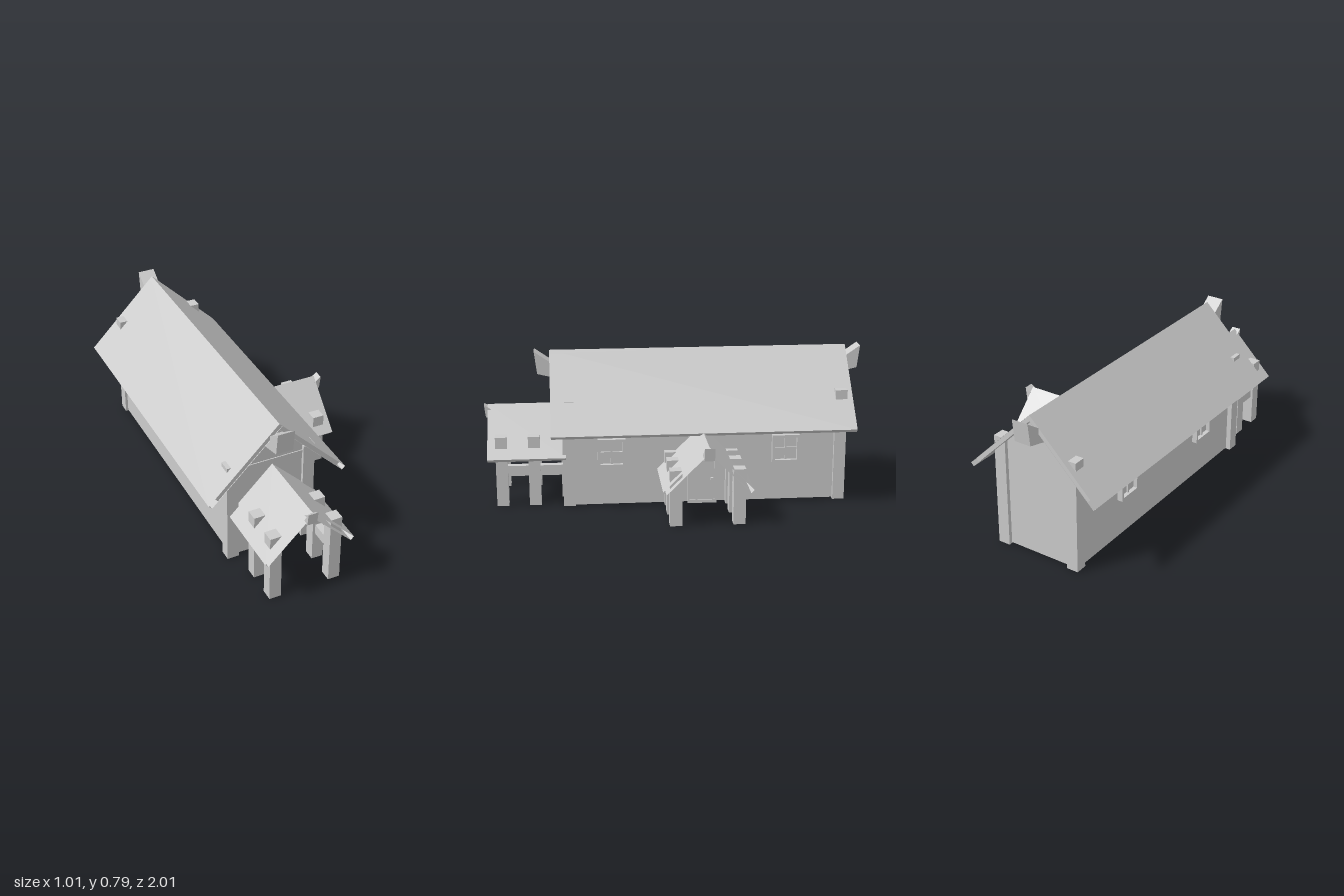
import * as THREE from 'three';

const mat = new THREE.MeshStandardMaterial({ color: 0xcccccc, flatShading: true, side: THREE.DoubleSide });

function add(parent, name, geo, x = 0, y = 0, z = 0) {
  const m = new THREE.Mesh(geo, mat);
  m.name = name;
  m.position.set(x, y, z);
  parent.add(m);
  return m;
}

// Box given by its min and max on each axis
function box(parent, name, x0, x1, y0, y1, z0, z1) {
  return add(parent, name, new THREE.BoxGeometry(x1 - x0, y1 - y0, z1 - z0),
    (x0 + x1) / 2, (y0 + y1) / 2, (z0 + z1) / 2);
}

// Two 45 degree slabs meeting at a ridge along z; open ends drop the z caps
function gableRoof(parent, name, half, ridgeY, z0, z1, t, open) {
  const run = half * Math.SQRT2;
  for (const s of [-1, 1]) {
    const geo = new THREE.BoxGeometry(run, t, z1 - z0);
    if (open) {
      geo.setIndex(Array.from(geo.index.array).slice(0, 24));
      geo.clearGroups();
    }
    const k = t / 2 / Math.SQRT2;
    const slab = add(parent, name, geo, s * (half / 2 - k), ridgeY - half / 2 - k, (z0 + z1) / 2);
    slab.rotation.z = -s * Math.PI / 4;
  }
}

// Wedge-shaped ridge end, pointing along +z
function ridgeHorn(parent, ridgeY, z, scale, width) {
  const pts = [[0.08, 0], [0.065, -0.12], [-0.09, -0.158], [-0.05, -0.09]];
  const shape = new THREE.Shape(pts.map(([o, y]) => new THREE.Vector2(-o * scale, y * scale)));
  const geo = new THREE.ExtrudeGeometry(shape, { depth: width, bevelEnabled: false });
  geo.translate(0, 0, -width / 2);
  geo.rotateY(Math.PI / 2);
  return add(parent, 'ridgeHorn', geo, 0, ridgeY, z);
}

// Framed window facing +z
function windowUnit(w, h) {
  const g = new THREE.Group();
  g.name = 'window';
  const f = 0.014, a = w / 2, b = h / 2;
  for (const s of [-1, 1]) {
    box(g, 'windowFrame', s * (a - f / 2) - f / 2, s * (a - f / 2) + f / 2, -b, b, 0, 0.028);
    box(g, 'windowFrame', -a + f, a - f, s * (b - f / 2) - f / 2, s * (b - f / 2) + f / 2, 0, 0.028);
  }
  box(g, 'mullion', -0.005, 0.005, -b + f, b - f, 0, 0.016);
  box(g, 'transom', -a + f, a - f, -0.005, 0.005, 0, 0.016);
  box(g, 'pane', -a + f, a - f, -b + f, b - f, 0, 0.006);
  return g;
}

// Door with frame and knob facing +z
function doorUnit() {
  const g = new THREE.Group();
  g.name = 'door';
  for (const s of [-1, 1]) box(g, 'doorFrame', s * 0.071 - 0.005, s * 0.071 + 0.005, 0.002, 0.28, 0, 0.024);
  box(g, 'doorLintel', -0.066, 0.066, 0.266, 0.28, 0, 0.024);
  box(g, 'doorSill', -0.066, 0.066, 0.002, 0.02, 0, 0.024);
  box(g, 'doorLeaf', -0.066, 0.066, 0.02, 0.266, 0, 0.017);
  box(g, 'doorKnob', 0.045, 0.058, 0.13, 0.143, 0.017, 0.036);
  return g;
}

// Open porch along +z: posts pierce the roof, rails tie them to the wall
function porch({ ridgeY, half, z0, z1, postTop, posts, rail, hornZ }) {
  const g = new THREE.Group();
  g.name = 'porch';
  gableRoof(g, 'porchRoof', half, ridgeY, z0, z1, 0.024, true);
  for (const s of [-1, 1]) {
    const x = s * 0.161;
    for (const z of posts) box(g, 'porchPost', x - 0.031, x + 0.031, 0, postTop, z - 0.031, z + 0.031);
    box(g, 'porchRail', x - 0.018, x + 0.018, rail[0], rail[1], z0 - 0.02, Math.max(...posts));
  }
  ridgeHorn(g, ridgeY, hornZ, 0.55, 0.052);
  return g;
}

export function createModel() {
  const root = new THREE.Group();
  root.name = 'house';
  const cx = -0.1375;

  // Main house, centred on its ridge
  const house = new THREE.Group();
  house.name = 'mainHouse';
  house.position.x = cx;
  root.add(house);

  const wall = new THREE.Shape([[-0.222, 0.005], [0.222, 0.005], [0.222, 0.54], [0, 0.762], [-0.222, 0.54]]
    .map(p => new THREE.Vector2(...p)));
  add(house, 'walls', new THREE.ExtrudeGeometry(wall, { depth: 1.455, bevelEnabled: false }), 0, 0, -0.88);
  box(house, 'gableBeam', -0.22, 0.22, 0.525, 0.54, 0.57, 0.58);

  // Corner posts
  for (const s of [-1, 1]) {
    const f = s * 0.207 - 0.01, r = s * 0.207 + 0.003;
    box(house, 'frontCornerPost', f - 0.031, f + 0.031, 0, 0.567, 0.53, 0.592);
    box(house, 'rearCornerPost', r - 0.032, r + 0.032, 0, 0.6, -0.9, -0.838);
  }

  // Main roof: thin outer shell over shorter capped boards
  gableRoof(house, 'roofShell', 0.371, 0.793, -0.93, 0.65, 0.024, true);
  gableRoof(house, 'roofBoards', 0.337, 0.792, -0.928, 0.648, 0.022, false);
  ridgeHorn(house, 0.793, 0.65, 1, 0.09).position.x = -0.004;
  const rearHorn = ridgeHorn(house, 0.793, -0.925, 1, 0.09);
  rearHorn.rotation.y = Math.PI;
  rearHorn.position.x = -0.004;

  // Windows on both long walls
  for (const [s, z] of [[1, 0.338], [1, -0.58], [-1, 0.23], [-1, -0.47]]) {
    const w = windowUnit(0.145, 0.15);
    w.position.set(s * 0.222, 0.29, z);
    w.rotation.y = s * Math.PI / 2;
    house.add(w);
  }

  // Front and side doors
  const frontDoor = doorUnit();
  frontDoor.position.set(0.004, 0, 0.575);
  const sideDoor = doorUnit();
  sideDoor.position.set(0.222, 0, -0.137);
  sideDoor.rotation.y = Math.PI / 2;
  house.add(frontDoor, sideDoor);

  // Front porch
  const front = porch({ ridgeY: 0.507, half: 0.238, z0: 0.575, z1: 0.982, postTop: 0.375,
    posts: [0.74, 0.91], rail: [0.16, 0.215], hornZ: 0.956 });
  front.name = 'frontPorch';
  front.position.x = cx + 0.003;
  root.add(front);

  // Side porch, turned to face +x
  const side = porch({ ridgeY: 0.424, half: 0.23, z0: 0.09, z1: 0.476, postTop: 0.292,
    posts: [0.093, 0.236, 0.407], rail: [0.125, 0.17], hornZ: 0.462 });
  side.name = 'sidePorch';
  side.rotation.y = Math.PI / 2;
  side.position.z = -0.13;
  root.add(side);

  return root;
}
